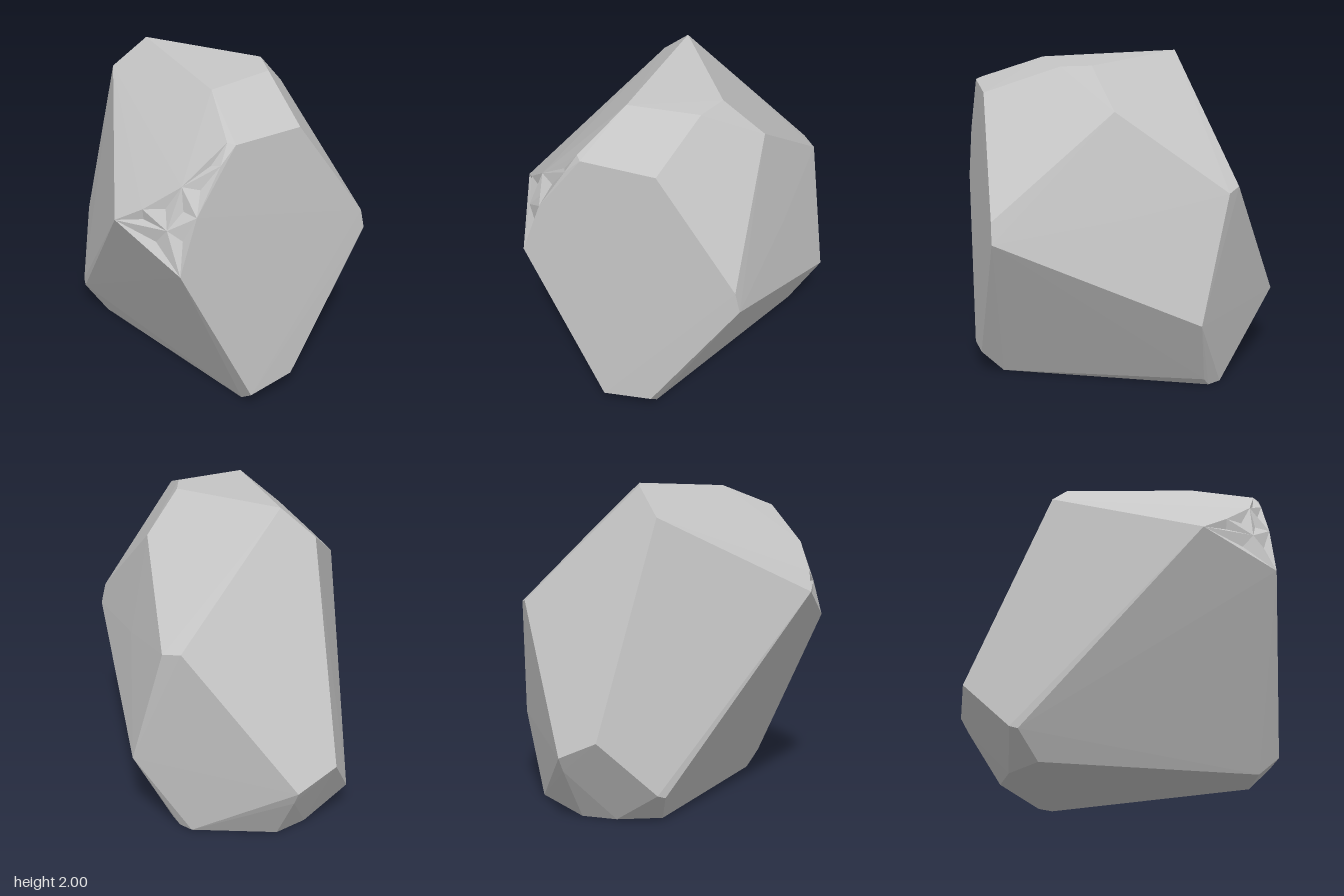
import * as THREE from 'three';
import { ConvexGeometry } from 'three/addons/geometries/ConvexGeometry.js';

// Corners of the boulder, ring by ring
const CROWN = [
  [-0.36, 2.0, 0.06], [0.46, 1.97, 0.22], [0.46, 1.97, -0.22], [0.29, 1.98, -0.31],
];
const SHOULDER = [
  [-0.47, 1.82, 0.24], [0.82, 1.83, 0.41], [0.86, 1.82, 0.38], [0.9, 1.81, -0.07],
  [0.22, 1.74, -0.55], [0.39, 1.32, 0.88], [-0.43, 1.25, -0.76], [-0.52, 1.27, -0.68],
  [0.97, 1.13, -0.55], [0.975, 1.0, -0.58], [0.85, 1.11, 0.77], [0.2, 1.12, -0.69],
];
const CHIPPED_EDGE = [
  [0.55, 1.43, 0.8], [0.73, 1.6, 0.66], [0.72, 1.35, 0.76], [0.85, 1.45, 0.65], [0.85, 1.72, 0.48],
];
const WAIST = [
  [-0.98, 0.54, 0.12], [-0.98, 0.42, -0.14], [-0.93, 0.33, -0.14], [0.25, 0.52, 0.515],
  [-0.22, 0.48, -0.885], [-0.65, 0.17, 0.4], [-0.7, 0.19, 0.375],
  [0.95, 0.14, -0.03], [0.93, 0.1, 0.28], [-0.32, 0.05, -0.67],
];
const BASE = [
  [-0.52, 0, 0.31], [-0.68, 0, 0.08], [-0.72, 0, -0.14], [-0.45, 0, -0.6],
  [-0.36, 0, -0.64], [0.81, 0, -0.03], [0.81, 0, 0.25],
];

// Split the facets of the chipped corner at their middle and press that point in
function chipFacets(hull, depth) {
  const pos = hull.getAttribute('position');
  const out = [];
  for (let i = 0; i < pos.count; i += 3) {
    const [a, b, c] = [0, 1, 2].map((k) => new THREE.Vector3().fromBufferAttribute(pos, i + k));
    const mid = new THREE.Vector3().add(a).add(b).add(c).divideScalar(3);
    const tri = new THREE.Triangle(a, b, c);
    const normal = tri.getNormal(new THREE.Vector3());
    const chipped = mid.x > 0.5 && mid.y > 1.2 && mid.z > 0.5 &&
      normal.x < 0.93 && normal.x > 0.25 && normal.y > 0 && tri.getArea() > 0.005;
    if (chipped) {
      mid.addScaledVector(normal, -depth);
      out.push(a, b, mid, b, c, mid, c, a, mid);
    } else {
      out.push(a, b, c);
    }
  }
  const geometry = new THREE.BufferGeometry().setFromPoints(out);
  geometry.computeVertexNormals();
  return geometry;
}

export function createModel() {
  const group = new THREE.Group();
  group.name = 'boulder';

  const stone = new THREE.MeshStandardMaterial({ color: 0xc6c6c6 });
  stone.name = 'pale stone grey';

  const corners = [...CROWN, ...SHOULDER, ...CHIPPED_EDGE, ...WAIST, ...BASE]
    .map((p) => new THREE.Vector3(...p));
  const rock = new THREE.Mesh(chipFacets(new ConvexGeometry(corners), 0.025), stone);
  rock.name = 'rock';
  group.add(rock);
  return group;
}
